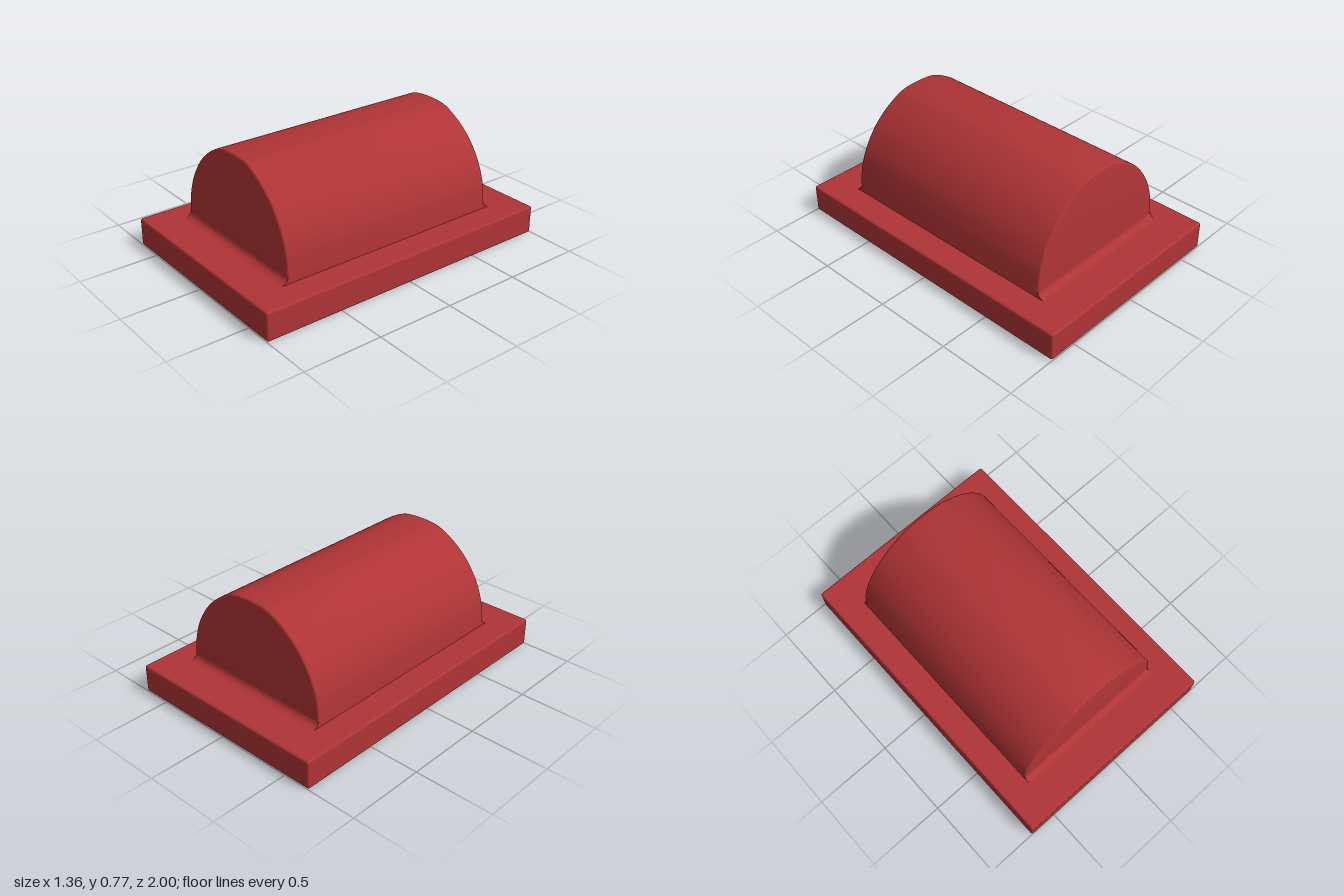
import * as THREE from 'three';
import { toCreasedNormals } from 'three/addons/utils/BufferGeometryUtils.js';
import { RoundedBoxGeometry } from 'three/addons/geometries/RoundedBoxGeometry.js';

const BASE_TOP = 0.18;

export function createModel() {
  const group = new THREE.Group();
  const red = new THREE.MeshStandardMaterial({ color: 0xb03436 });
  const add = (name, geometry) => {
    const mesh = new THREE.Mesh(geometry, red);
    mesh.name = name;
    group.add(mesh);
    return mesh;
  };

  // Flat slab with softened edges
  add('basePlate', new RoundedBoxGeometry(1.36, BASE_TOP, 2, 4, 0.014)).position.y = BASE_TOP / 2;

  // Arched block: half profile mirrored, flattened at the crown
  const half = [[0.51, 0.25], [0.494, 0.36], [0.45, 0.478], [0.375, 0.591],
    [0.29, 0.672], [0.2, 0.729], [0.13, 0.759], [0.05, 0.77]];
  const arch = new THREE.Shape();
  arch.moveTo(0.51, 0.1);
  arch.lineTo(0.51, 0.25);
  const points = [...half, ...half.map(([x, y]) => [-x, y]).reverse()].map(([x, y]) => new THREE.Vector2(x, y));
  arch.splineThru(points.slice(1));
  arch.lineTo(-0.51, 0.1);
  arch.closePath();
  const block = new THREE.ExtrudeGeometry(arch, {
    depth: 1.466, curveSegments: 64, bevelThickness: 0.012,
    bevelSize: 0.012, bevelOffset: -0.012, bevelSegments: 3,
  });
  block.translate(0, 0, -0.733);

  // Ends lean in slightly towards the crown
  const position = block.attributes.position;
  for (let i = 0; i < position.count; i++) {
    const rise = (position.getY(i) - BASE_TOP) / 0.59;
    position.setZ(i, position.getZ(i) * (1 - 0.01 * rise));
  }
  add('archedBlock', toCreasedNormals(block, 0.6));

  // Concave fillets where the two ends meet the base
  const fillet = new THREE.Shape();
  fillet.moveTo(0.73, BASE_TOP - 0.01);
  fillet.lineTo(0.8, BASE_TOP - 0.002);
  fillet.quadraticCurveTo(0.75, BASE_TOP + 0.003, 0.744, BASE_TOP + 0.035);
  fillet.lineTo(0.73, BASE_TOP + 0.035);
  fillet.closePath();
  const strip = new THREE.ExtrudeGeometry(fillet, { depth: 1.02, bevelEnabled: false, curveSegments: 8 });
  strip.rotateY(-Math.PI / 2);
  strip.translate(0.51, 0, 0);
  const smoothStrip = toCreasedNormals(strip, 0.7);
  add('frontFillet', smoothStrip);
  add('backFillet', smoothStrip).rotation.y = Math.PI;

  return group;
}
